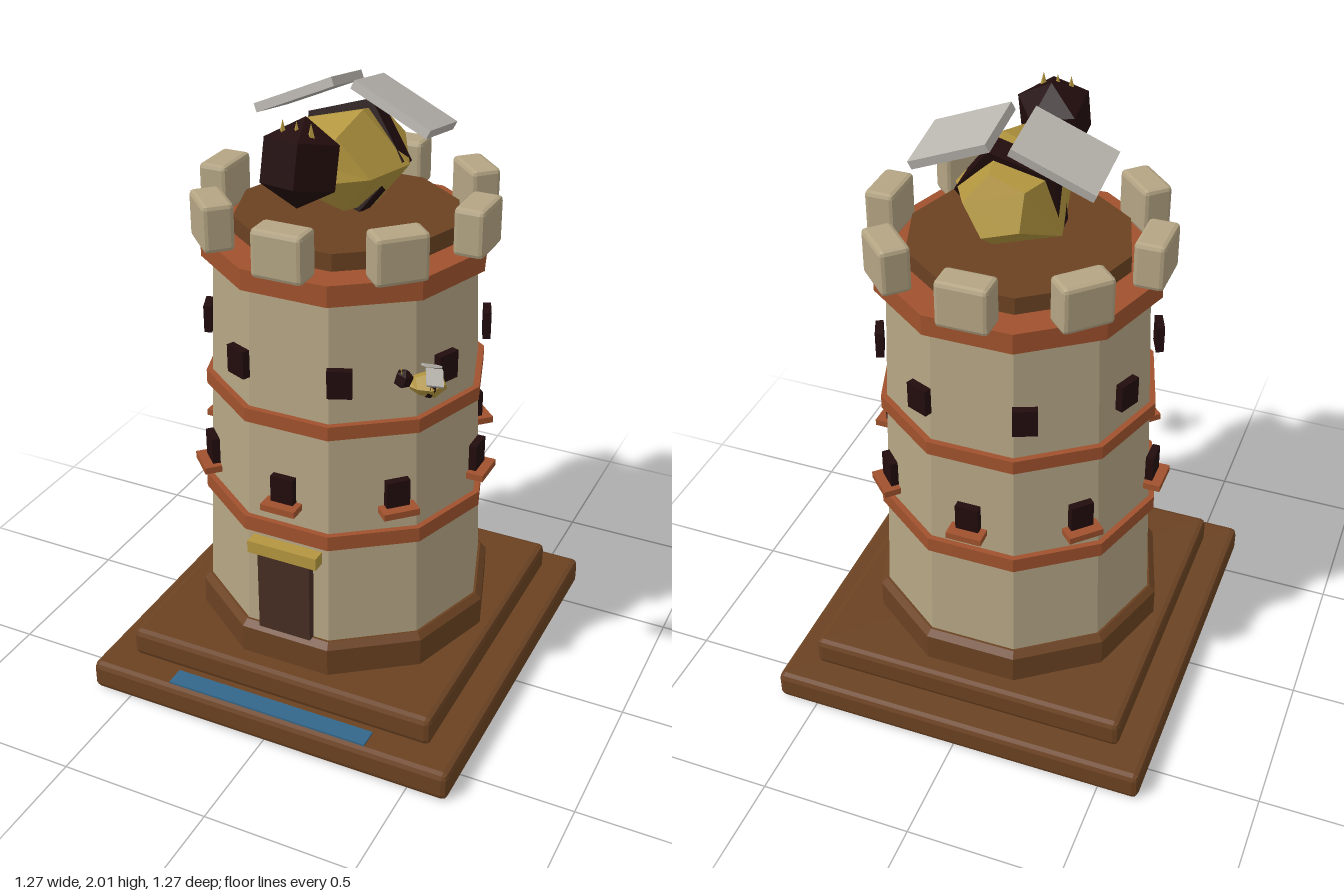
import * as THREE from 'three';
import { RoundedBoxGeometry } from 'three/addons/geometries/RoundedBoxGeometry.js';

const mat = (name, color) => {
  const m = new THREE.MeshStandardMaterial({ color, flatShading: true });
  m.name = name;
  return m;
};

export function createModel() {
  const brown = mat('brown wood', 0x6b4222);
  const rust = mat('rust trim', 0xa0522d);
  const stone = mat('pale stone', 0xb3a483);
  const gold = mat('gold', 0xb3963f);
  const dark = mat('near black', 0x220c0d);
  const doorBrown = mat('door brown', 0x472d24);
  const blue = mat('blue', 0x33678a);
  const wingGrey = mat('wing grey', 0xb8b4ae);

  const model = new THREE.Group();
  model.name = 'tower';

  const add = (parent, name, geo, material, x = 0, y = 0, z = 0) => {
    const m = new THREE.Mesh(geo, material);
    m.name = name;
    m.position.set(x, y, z);
    parent.add(m);
    return m;
  };
  const box = (w, h, d) => new THREE.BoxGeometry(w, h, d);
  const chamfered = (w, h, d, r) => new RoundedBoxGeometry(w, h, d, 1, r);

  // Ten-sided drum with a flat face to the front
  const drum = (name, material, y0, y1, r0, r1) =>
    add(model, name, new THREE.CylinderGeometry(r1, r0, y1 - y0, 10).rotateY(Math.PI / 10),
      material, 0, (y0 + y1) / 2, 0);

  // Parts set around the axis, turned to face outward
  const around = (name, geo, material, r, y, offset = 0) => {
    for (let i = 0; i < 8; i++) {
      const a = offset + (i * Math.PI) / 4;
      add(model, name, geo, material, Math.sin(a) * r, y, Math.cos(a) * r).rotation.y = a;
    }
  };

  // Stepped base
  add(model, 'lowerPlinth', chamfered(1.27, 0.1, 1.27, 0.02), brown, 0, 0.05, 0);
  add(model, 'upperPlinth', chamfered(1.07, 0.1, 1.07, 0.02), brown, 0, 0.15, 0);
  add(model, 'bluePanel', box(0.7, 0.009, 0.065), blue, 0, 0.102, 0.583);
  drum('footing', brown, 0.2, 0.295, 0.49, 0.49);
  drum('footingBevel', brown, 0.295, 0.315, 0.49, 0.47);

  // Tower wall, trim bands and roof deck
  drum('wall', stone, 0.31, 1.5, 0.462, 0.413);
  drum('lowerBand', rust, 0.66, 0.71, 0.465, 0.465);
  drum('middleBand', rust, 1.042, 1.088, 0.45, 0.45);
  drum('topBand', rust, 1.478, 1.545, 0.45, 0.45);
  drum('roofDeck', brown, 1.54, 1.6, 0.35, 0.35);
  around('merlon', chamfered(0.164, 0.15, 0.096, 0.014), stone, 0.423, 1.62);

  // Windows and sills
  around('lowerWindow', box(0.075, 0.09, 0.025), dark, 0.452, 0.85);
  around('windowSill', box(0.115, 0.022, 0.055), rust, 0.468, 0.796);
  around('upperWindow', box(0.075, 0.09, 0.025), dark, 0.437, 1.23, Math.PI / 8);

  // Door
  add(model, 'door', box(0.18, 0.285, 0.03), doorBrown, 0, 0.458, 0.45);
  add(model, 'doorLintel', box(0.238, 0.042, 0.045), gold, 0, 0.621, 0.453);

  // Five-sided body lofted through rings of [z, y, radius, slant]
  const bodyGeometry = () => {
    const n = 5;
    const rings = [
      [-0.2, 0.03, 0.1, 0.4],
      [-0.03, -0.005, 0.19, 0.3],
      [0.14, -0.005, 0.14, 0.2],
      [0.225, 0, 0.06, 0],
    ].map(([z, y, r, slant]) => Array.from({ length: n }, (_, j) => {
      const a = (j * 2 * Math.PI) / n;
      const dy = Math.sin(a) * r * 0.9;
      return [Math.cos(a) * r, y + dy, z + slant * dy];
    }));
    const pos = [];
    const tri = (a, b, c) => pos.push(...a, ...b, ...c);
    for (let i = 0; i < rings.length - 1; i++) {
      for (let j = 0; j < n; j++) {
        const k = (j + 1) % n;
        tri(rings[i][j], rings[i][k], rings[i + 1][k]);
        tri(rings[i][j], rings[i + 1][k], rings[i + 1][j]);
      }
    }
    const back = rings[0], front = rings[rings.length - 1];
    for (let j = 1; j < n - 1; j++) {
      tri(back[0], back[j + 1], back[j]);
      tri(front[0], front[j], front[j + 1]);
    }
    const g = new THREE.BufferGeometry();
    g.setAttribute('position', new THREE.Float32BufferAttribute(pos, 3));
    g.computeVertexNormals();
    return g;
  };

  // Winged insect facing +z
  const insect = (name) => {
    const g = new THREE.Group();
    g.name = name;
    add(g, 'body', bodyGeometry(), gold);
    // Dark belt showing through the sides of the body
    const belt = new THREE.CylinderGeometry(0.178, 0.178, 0.07, 5)
      .rotateX(Math.PI / 2).rotateZ(Math.PI / 2);
    add(g, 'belt', belt, dark, 0, 0, -0.04).rotation.x = -0.25;
    add(g, 'head', new THREE.SphereGeometry(0.13, 5, 3, Math.PI), dark, 0, 0.08, 0.3)
      .rotation.x = -0.25;
    for (const x of [-0.043, 0, 0.045]) {
      add(g, 'crownSpike', new THREE.ConeGeometry(0.013, 0.05, 4), gold, x, 0.185, 0.325);
    }
    for (const s of [-1, 1]) {
      const wing = add(g, 'wing', box(0.272, 0.028, 0.21), wingGrey, s * 0.156, 0.162, -0.06);
      wing.rotation.set(-0.17, 0, -s * 0.42);
    }
    model.add(g);
    return g;
  };

  insect('roofInsect').position.set(0, 1.765, 0);

  const small = insect('flyingInsect');
  small.position.set(0.45, 1.305, 0.42);
  small.rotation.y = -1.05;
  small.scale.setScalar(0.23);

  return model;
}
